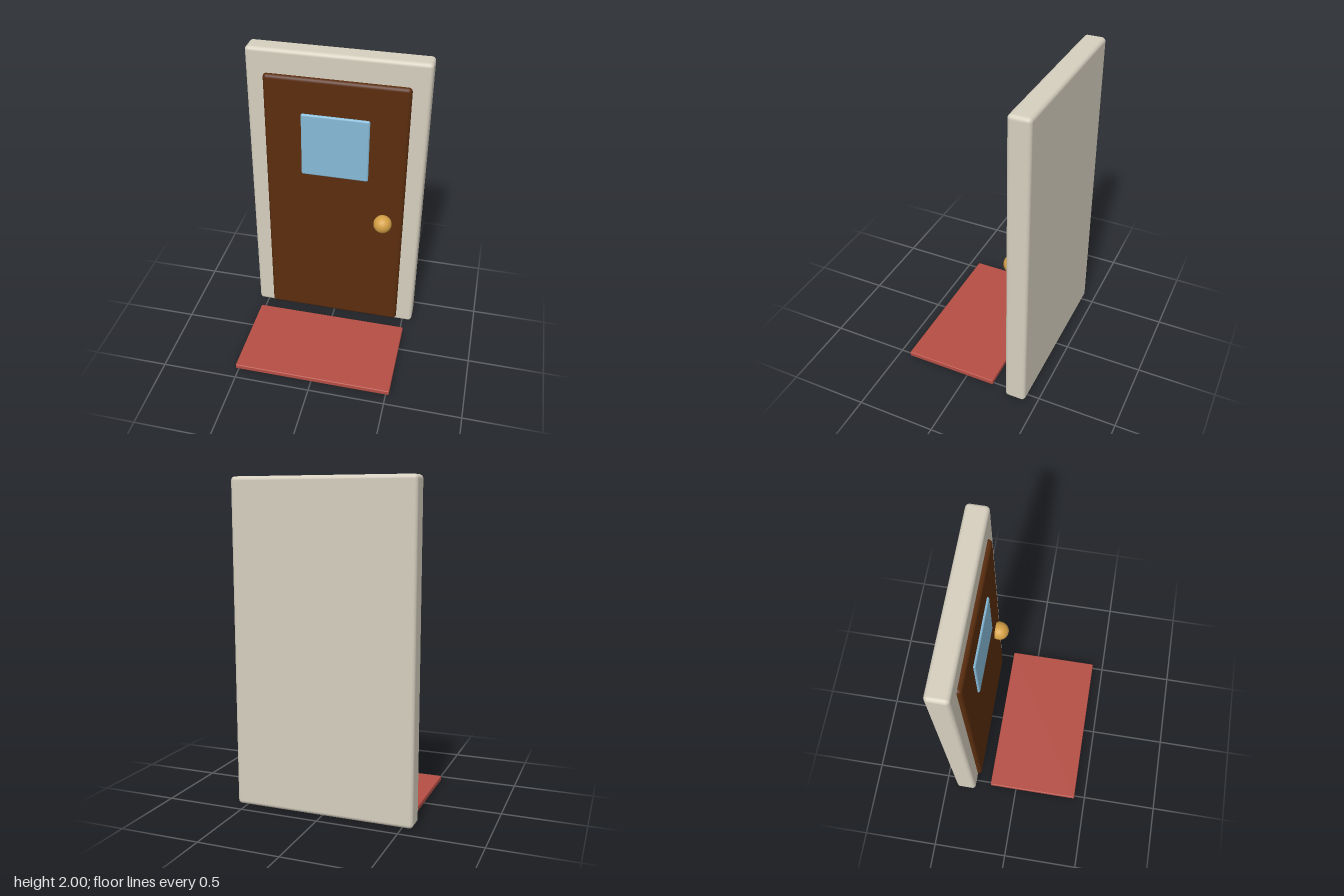
import * as THREE from 'three';
import { RoundedBoxGeometry } from 'three/addons/geometries/RoundedBoxGeometry.js';

function material(name, color) {
  const m = new THREE.MeshStandardMaterial({ color });
  m.name = name;
  return m;
}

export function createModel() {
  const group = new THREE.Group();
  group.name = 'frontDoor';

  // Rounded slab given by its size, bottom height and front z
  function slab(name, mat, [w, h, d], bottom, front, radius) {
    const mesh = new THREE.Mesh(new RoundedBoxGeometry(w, h, d, 4, radius), mat);
    mesh.name = name;
    mesh.position.set(0, bottom + h / 2, front - d / 2);
    group.add(mesh);
  }

  // Frame, door leaf, window pane and doormat
  slab('frame', material('cream', 0xd6cfbf), [1.13, 2, 0.135], 0, -0.29, 0.025);
  slab('door', material('darkBrown', 0x5a2d0e), [0.91, 1.825, 0.08], 0.02, -0.264, 0.025);
  slab('window', material('paleBlue', 0x87bad8), [0.434, 0.434, 0.04], 1.176, -0.251, 0.012);
  slab('doormat', material('brickRed', 0xb54e44), [1.042, 0.034, 0.61], 0, 0.425, 0.007);

  // Round doorknob on the left side of the leaf
  const knob = new THREE.Mesh(new THREE.SphereGeometry(0.06, 32, 20), material('brass', 0xd4a045));
  knob.name = 'doorknob';
  knob.position.set(0.328, 0.876, -0.237);
  group.add(knob);

  return group;
}
